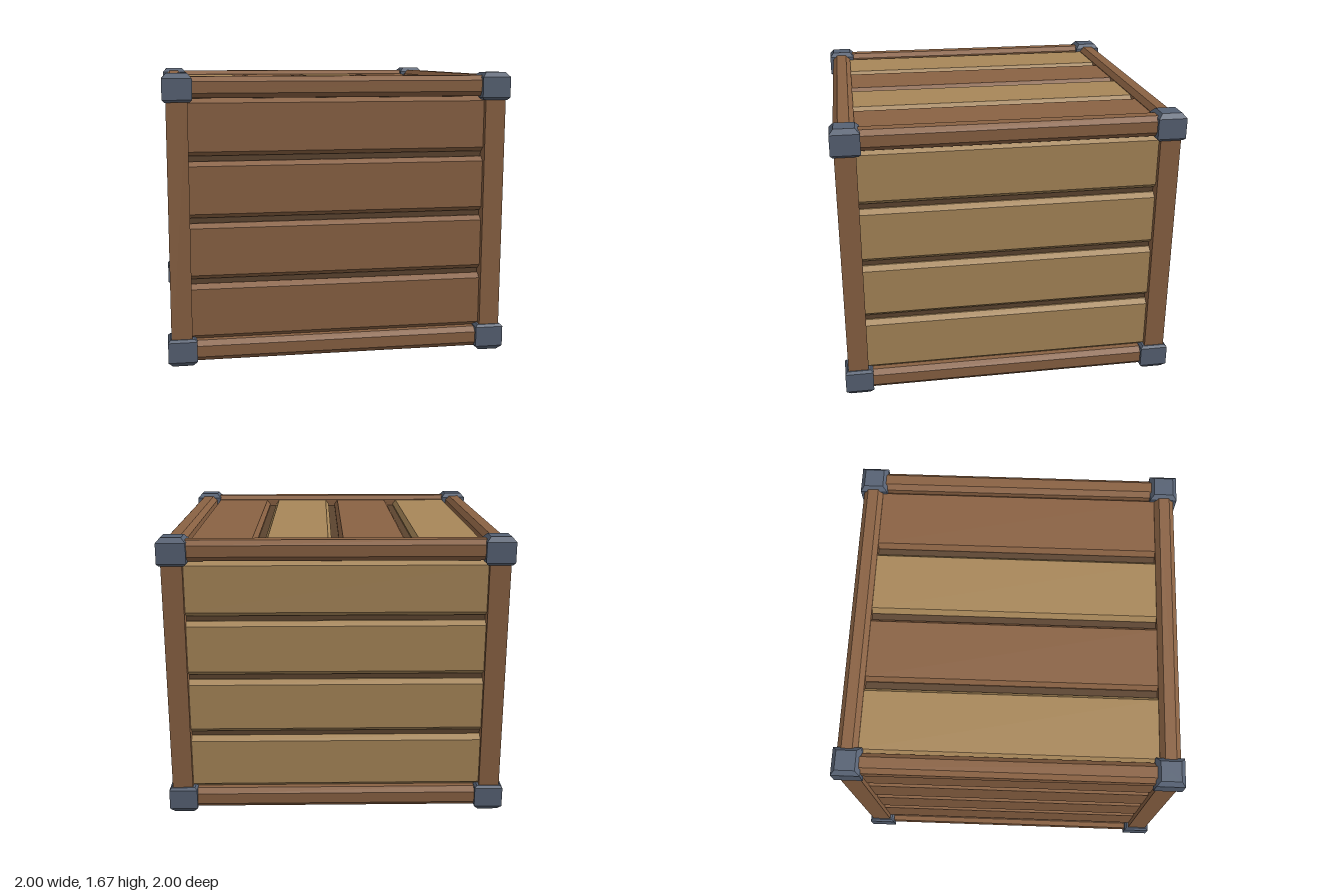
import * as THREE from 'three';

const mat = (name, color) => {
  const m = new THREE.MeshStandardMaterial({ color, flatShading: true });
  m.name = name;
  return m;
};

// Prism with the given cross-section, centred along z
function prism(points, length) {
  const shape = new THREE.Shape(points.map(([x, y]) => new THREE.Vector2(x, y)));
  return new THREE.ExtrudeGeometry(shape, { depth: length, bevelEnabled: false })
    .translate(0, 0, -length / 2);
}

// Plank along z, its top bevelled on both long edges, base at y = 0
function plank(width, height, bevel, length) {
  const w = width / 2, t = w - bevel;
  return prism([[-w, 0], [w, 0], [w, height - 0.03], [t, height], [-t, height], [-w, height - 0.03]], length);
}

export function createModel() {
  const brown = mat('brown wood', 0x8a6243);
  const tan = mat('tan wood', 0xa88759);
  const dark = mat('dark wood', 0x5c442f);
  const metal = mat('blue grey metal', 0x576274);

  const crate = new THREE.Group();
  crate.name = 'crate';
  const add = (parent, name, geometry, material, x = 0, y = 0, z = 0) => {
    const mesh = new THREE.Mesh(geometry, material);
    mesh.name = name;
    mesh.position.set(x, y, z);
    parent.add(mesh);
    return mesh;
  };

  const H = 1.673, mid = H / 2, core = 0.91;

  // Dark inner box, seen in the gaps and underneath
  add(crate, 'core', new THREE.BoxGeometry(core * 2, H - 0.18, core * 2), dark, 0, mid, 0);

  // Shared parts
  const sidePlank = plank(0.323, 0.04, 0.025, 1.74).rotateY(Math.PI / 2).rotateX(Math.PI / 2);
  const topPlank = plank(0.396, 0.04, 0.022, 1.74);
  const b = 0.06, c = 0.032;
  const beam = prism([[-c, -b], [c, -b], [b, -c], [b, c], [c, b], [-c, b], [-b, c], [-b, -c]], 1.8)
    .rotateY(Math.PI / 2);
  const post = new THREE.BoxGeometry(0.12, H - 0.14, 0.12);
  const capProfile = [[0, -0.08], [0.07, -0.08], [0.083, -0.066], [0.083, 0.052], [0.058, 0.08], [0, 0.08]]
    .map(([r, y]) => new THREE.Vector2(r * Math.SQRT2, y));
  const cap = new THREE.LatheGeometry(capProfile, 4, Math.PI / 4);

  // Four sides: planks, two beams, one post and its two caps each
  [['front', brown], ['left', tan], ['back', tan], ['right', brown]].forEach(([name, wood], k) => {
    const side = new THREE.Group();
    side.name = name + 'Side';
    side.rotation.y = k * Math.PI / 2;
    for (let i = 0; i < 4; i++) add(side, 'sidePlank', sidePlank, wood, 0, 0.306 + i * 0.355, core);
    for (const y of [0.082, H - 0.078]) add(side, 'beam', beam, brown, 0, y, 0.92);
    add(side, 'cornerPost', post, brown, 0.92, mid, 0.92);
    add(side, 'topCap', cap, metal, 0.917, H - 0.08, 0.917);
    add(side, 'bottomCap', cap, metal, 0.917, 0.08, 0.917).rotation.x = Math.PI;
    crate.add(side);
  });

  // Lid planks in alternating colours
  for (let i = 0; i < 4; i++) {
    add(crate, 'topPlank', topPlank, i % 2 ? brown : tan, -0.66 + i * 0.44, H - 0.09, 0);
  }
  return crate;
}
